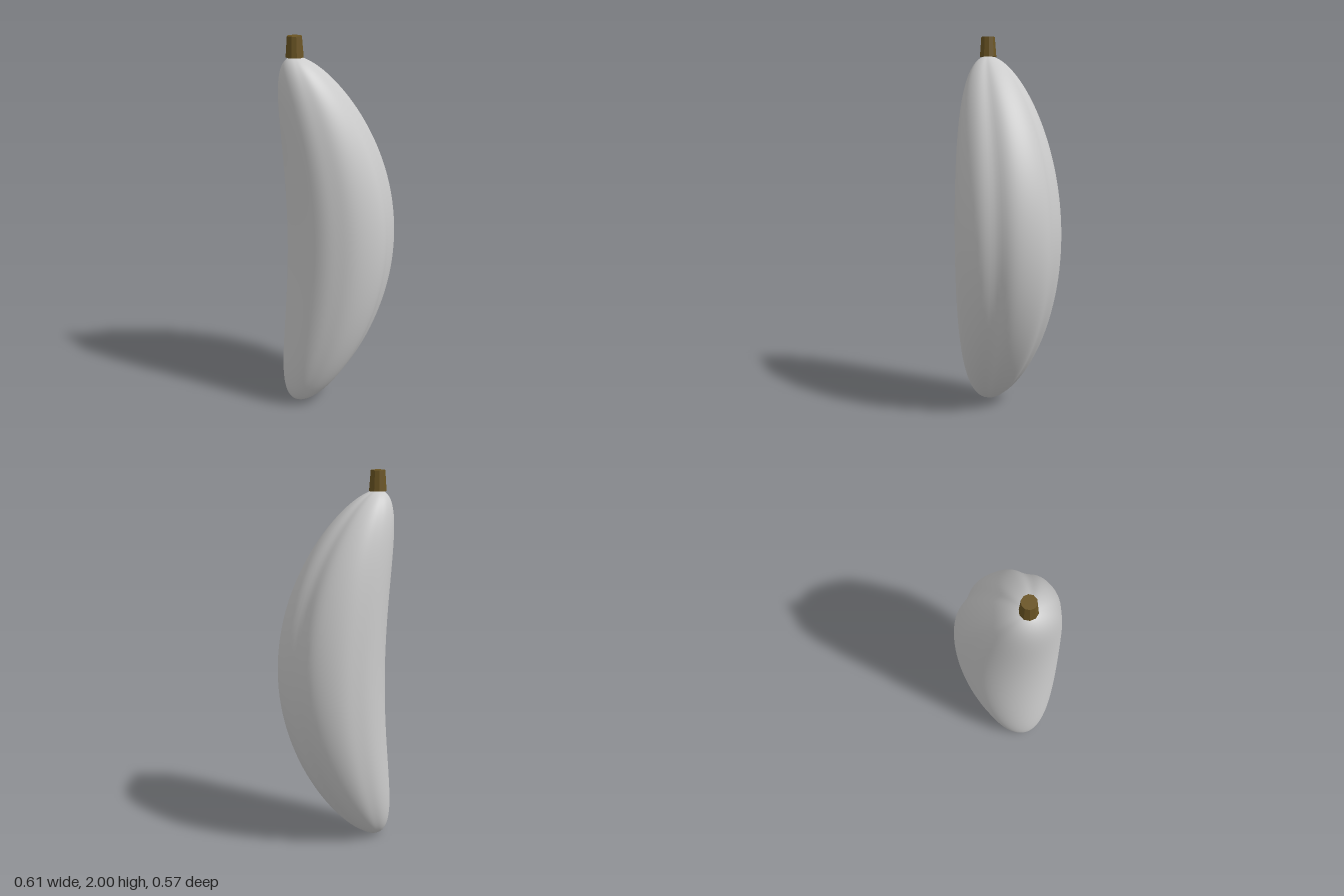
import * as THREE from 'three';
import { mergeVertices } from 'three/addons/utils/BufferGeometryUtils.js';

const HALF = 0.95; // half height of the fruit
const RADIUS = 0.284;

// smooth groove around an angle
const groove = (angle, at, width, depth) => depth * Math.exp(-(((angle - at) / width) ** 2));

// centre line: bows toward +x in the middle
const bow = (t) => 0.0175 - 0.24 * t * t;

function bodyGeometry() {
  let geo = new THREE.SphereGeometry(1, 80, 64);
  geo.deleteAttribute('uv');
  geo.deleteAttribute('normal');
  geo = mergeVertices(geo, 1e-5);
  const pos = geo.attributes.position;
  for (let i = 0; i < pos.count; i++) {
    const x = pos.getX(i), t = pos.getY(i), z = pos.getZ(i);
    const angle = Math.abs(Math.atan2(z, x));
    // lengthwise grooves, strongest on the outer side of the bend
    const dent = groove(angle, 0.66, 0.22, 0.075) + groove(angle, 1.9, 0.2, 0.02);
    const r = RADIUS * (1 - dent);
    pos.setXYZ(i, bow(t) + x * r, HALF + t * HALF, z * r);
  }
  geo.computeVertexNormals();
  return geo;
}

export function createModel() {
  const group = new THREE.Group();
  group.name = 'curvedFruit';

  const skin = new THREE.MeshStandardMaterial({ color: 0xcccccc });
  skin.name = 'pale grey skin';
  const wood = new THREE.MeshStandardMaterial({ color: 0x6a5423, flatShading: true });
  wood.name = 'brown stem';

  // fruit body
  const body = new THREE.Mesh(bodyGeometry(), skin);
  body.name = 'body';

  // faceted tapered stem
  const stem = new THREE.Mesh(new THREE.CylinderGeometry(0.037, 0.045, 0.105, 10), wood);
  stem.name = 'stem';
  stem.position.set(bow(1), 2 - 0.0525, 0);

  group.add(body, stem);
  return group;
}
